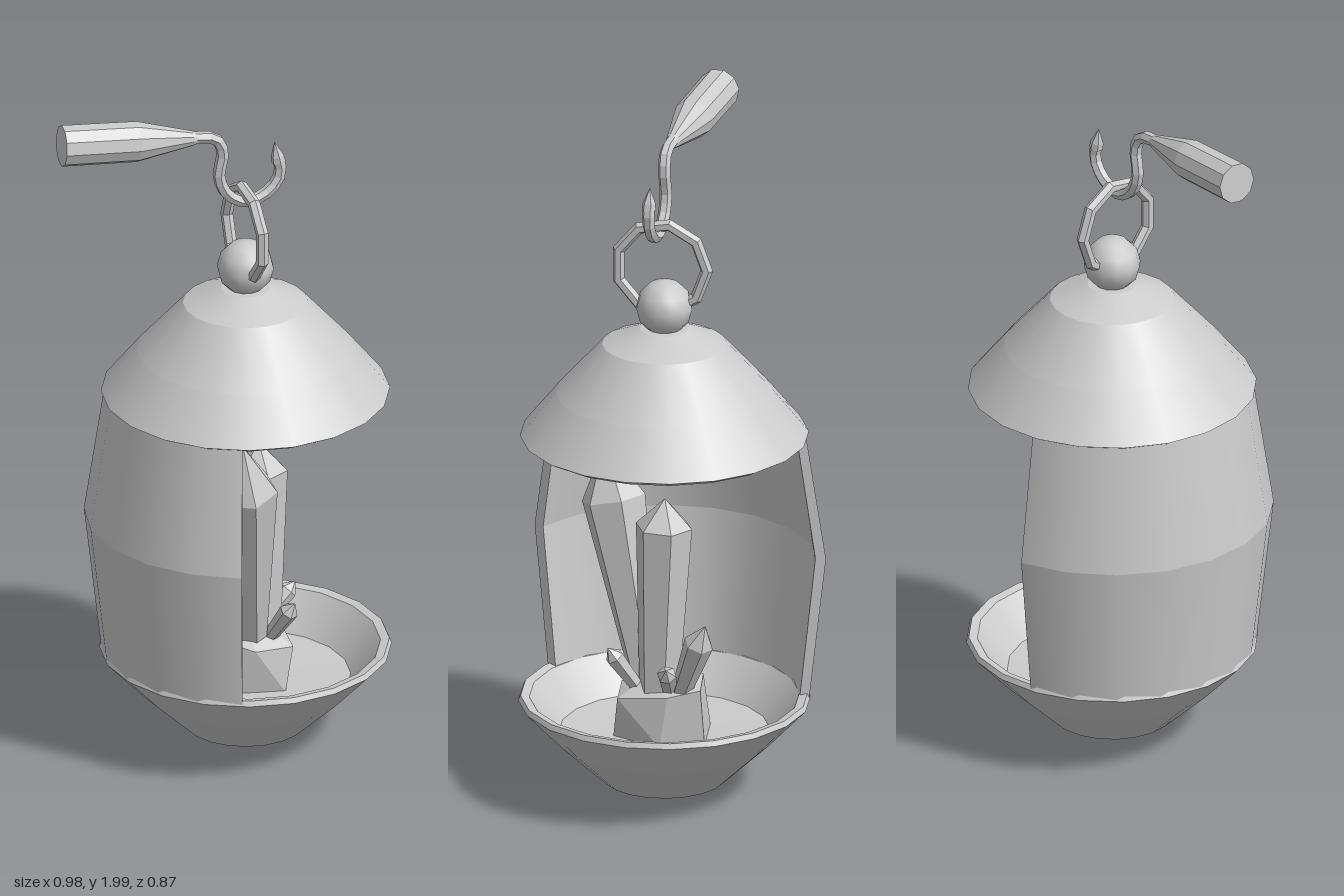
import * as THREE from 'three';
import { mergeGeometries } from 'three/addons/utils/BufferGeometryUtils.js';
import { ConvexGeometry } from 'three/addons/geometries/ConvexGeometry.js';

const smooth = new THREE.MeshStandardMaterial({ color: 0xcccccc, side: THREE.DoubleSide });
const flat = new THREE.MeshStandardMaterial({ color: 0xcccccc, flatShading: true });
const AXIS = 0.065; // x of the lantern's centre line
const V = (a) => new THREE.Vector3(...a);

// Lathe with a crease at every profile point; smooth around the axis
function banded(profile, segments = 20, start = 0, length = Math.PI * 2) {
  const bands = [];
  for (let i = 0; i < profile.length - 1; i++) {
    const pair = [profile[i], profile[i + 1]].map((p) => new THREE.Vector2(...p));
    bands.push(new THREE.LatheGeometry(pair, segments, start, length));
  }
  return mergeGeometries(bands);
}

// Low-poly solid of revolution whose axis runs between two points; profile is [radius, fraction]
function spindle(from, to, profile, sides) {
  const a = V(from), dir = V(to).sub(a), len = dir.length();
  const geo = new THREE.LatheGeometry(profile.map(([r, t]) => new THREE.Vector2(r, t * len)), sides);
  geo.applyQuaternion(new THREE.Quaternion().setFromUnitVectors(V([0, 1, 0]), dir.normalize()));
  return geo.translate(a.x, a.y, a.z);
}

export function createModel() {
  const model = new THREE.Group();
  const add = (name, geo, mat, x = 0, parent = model) => {
    const mesh = new THREE.Mesh(geo, mat);
    mesh.name = name;
    mesh.position.x = x;
    parent.add(mesh);
    return mesh;
  };

  // Bowl and domed roof, both hollow
  add('bowl', banded([
    [0, 0.005], [0.175, 0.045], [0.308, 0.17], [0.417, 0.285], [0.41, 0.3],
    [0.385, 0.295], [0.3, 0.19], [0, 0.18],
  ]), smooth, AXIS);
  add('roof', banded([
    [0.385, 1.075], [0.412, 1.09], [0.31, 1.217], [0.178, 1.365], [0.07, 1.41], [0, 1.415],
    [0, 1.335], [0.165, 1.33], [0.285, 1.19], [0.385, 1.075],
  ]), smooth, AXIS);

  // Curved back wall with closed ends
  const wall = [
    [0.412, 0.285], [0.46, 0.71], [0.402, 1.09], [0.375, 1.09], [0.43, 0.71], [0.385, 0.285], [0.412, 0.285],
  ];
  const startAngle = THREE.MathUtils.degToRad(195), arc = THREE.MathUtils.degToRad(144);
  const wallGroup = new THREE.Group();
  wallGroup.name = 'backWall';
  wallGroup.position.x = AXIS;
  model.add(wallGroup);
  add('wallShell', banded(wall, 8, startAngle, arc), smooth, 0, wallGroup);
  const section = new THREE.Shape(wall.map((p) => new THREE.Vector2(...p)));
  for (const angle of [startAngle, startAngle + arc]) {
    const end = add('wallEnd', new THREE.ShapeGeometry(section), smooth, 0, wallGroup);
    end.rotation.y = angle - Math.PI / 2;
  }

  // Finial ball and hanging ring
  const ball = add('finialBall', new THREE.SphereGeometry(0.082, 12, 6), smooth, AXIS);
  ball.position.y = 1.475;
  const ring = add('hangingRing', new THREE.TorusGeometry(0.132, 0.018, 6, 9), flat, 0.06);
  ring.position.set(0.06, 1.592, 0.01);
  ring.rotation.set(0, Math.PI / 2 + 0.06, 0);

  // Hook with a pointed end
  const path = new THREE.CatmullRomCurve3([
    [-0.11, 1.918, 0.022], [-0.035, 1.905, 0.024], [-0.012, 1.86, 0.022], [-0.022, 1.78, 0.02],
    [0.005, 1.72, 0.02], [0.065, 1.69, 0.02], [0.13, 1.715, 0.02], [0.163, 1.765, 0.02], [0.157, 1.81, 0.02],
  ].map(V));
  add('hook', new THREE.TubeGeometry(path, 18, 0.018, 6), flat);
  add('hookPoint', spindle([0.158, 1.8, 0.02], [0.146, 1.865, 0.02],
    [[0, 0], [0.021, 0], [0.019, 0.3], [0, 1]], 6), flat);

  // Handle tapering to the hook
  add('handle', spindle([-0.488, 1.94, -0.008], [-0.08, 1.914, 0.023],
    [[0, 0], [0.06, 0], [0.059, 0.54], [0.022, 0.94], [0.014, 1], [0, 1]], 10), flat);

  // Rock and the crystals growing out of it
  const cluster = new THREE.Group();
  cluster.name = 'crystalCluster';
  model.add(cluster);
  add('rock', new ConvexGeometry([
    [-0.03, 0.18, 0.09], [0.14, 0.18, 0.13], [0.19, 0.18, -0.02], [0.14, 0.18, -0.14], [-0.03, 0.18, -0.11],
    [-0.035, 0.34, 0.06], [0.05, 0.32, 0.13], [0.17, 0.31, 0.11], [0.18, 0.33, -0.04],
    [0.15, 0.35, -0.13], [0.01, 0.35, -0.1], [0.05, 0.38, 0.02], [0.1, 0.37, 0.03],
  ].map(V)), flat, 0, cluster);
  // base point, tip, base radius, shoulder radius, shoulder fraction
  const crystals = [
    [[0.07, 0.28, 0.045], [-0.015, 1.01, 0.2], 0.038, 0.095, 0.79],
    [[0.11, 0.26, 0.005], [0.11, 0.91, -0.014], 0.055, 0.083, 0.87],
    [[0.12, 0.29, -0.05], [0.205, 0.57, -0.16], 0.025, 0.043, 0.78],
    [[0.11, 0.32, -0.03], [0.235, 0.435, -0.052], 0.022, 0.028, 0.8],
    [[0.11, 0.32, 0.06], [0.165, 0.46, 0.14], 0.02, 0.028, 0.78],
  ];
  for (const [base, tip, r0, r1, t] of crystals) {
    add('crystal', spindle(base, tip, [[0, 0], [r0, 0], [r1, t], [0, 1]], 6), flat, 0, cluster);
  }
  return model;
}
